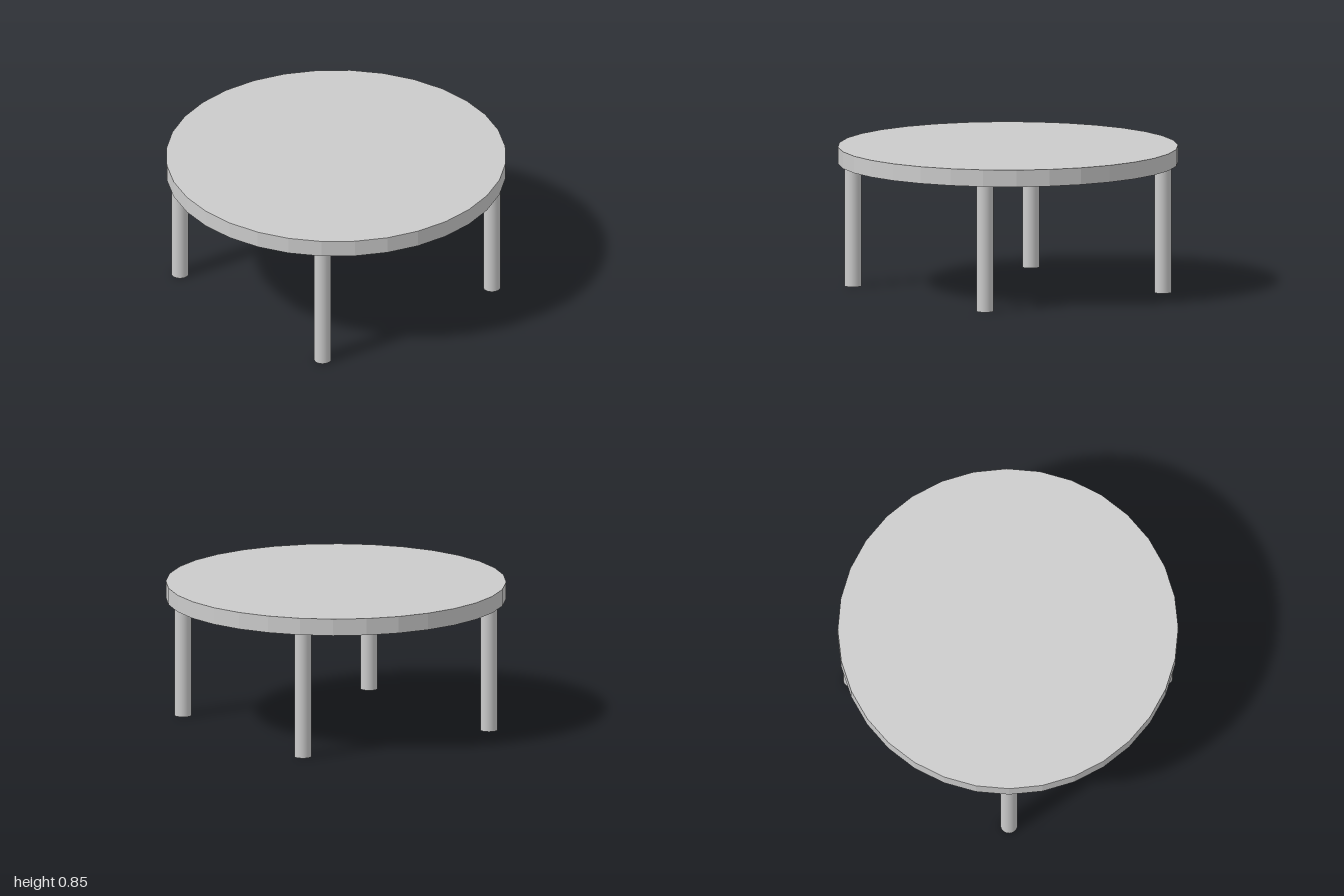
import * as THREE from 'three';

export function createModel() {
  const group = new THREE.Group();
  const material = new THREE.MeshStandardMaterial({ color: 0xcccccc, flatShading: true });
  const legMaterial = new THREE.MeshStandardMaterial({ color: 0xcccccc });

  const height = 0.85, thickness = 0.1, legHeight = height - thickness;
  const legRadius = 0.05, legOffset = 0.65;

  // Round faceted table top
  const top = new THREE.Mesh(new THREE.CylinderGeometry(1, 1, thickness, 32), material);
  top.name = 'tableTop';
  top.position.y = height - thickness / 2;
  group.add(top);

  // Four straight round legs
  const legGeometry = new THREE.CylinderGeometry(legRadius, legRadius, legHeight, 32);
  for (const [z, end] of [[1, 'front'], [-1, 'back']]) {
    for (const [x, side] of [[1, 'Left'], [-1, 'Right']]) {
      const leg = new THREE.Mesh(legGeometry, legMaterial);
      leg.name = `${end}${side}Leg`;
      leg.position.set(x * legOffset, legHeight / 2, z * legOffset);
      group.add(leg);
    }
  }
  return group;
}
